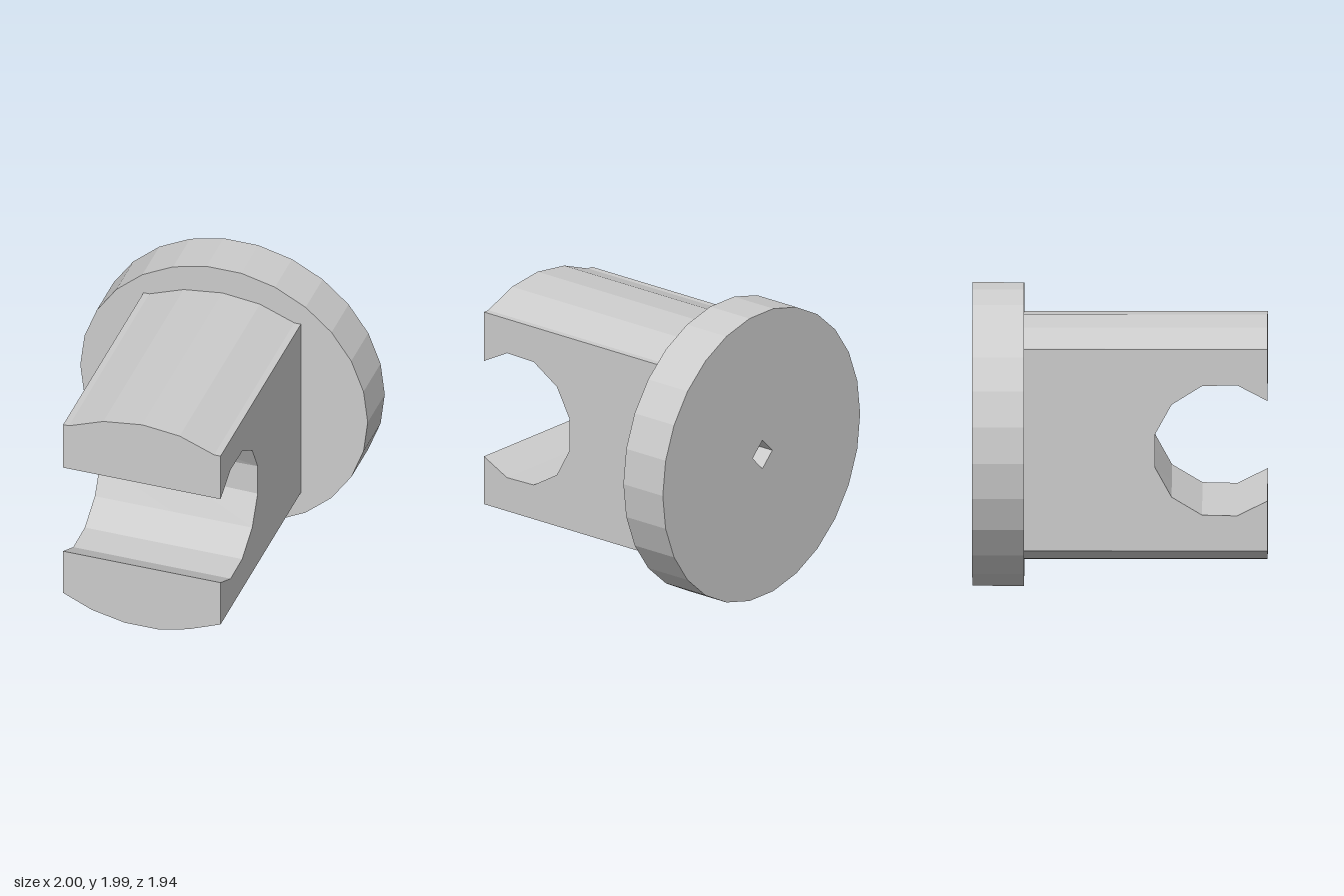
import * as THREE from 'three';

const LEFT = 0.535, RIGHT = -0.56, MID = -0.01; // body sides and bore axis in x
const FRONT = 0.97, SHOULDER = -0.63, BACK = -0.97, SEAT = 0.23; // z stations

const material = new THREE.MeshStandardMaterial({ color: 0xcccccc, flatShading: true });
const innerMaterial = material.clone();
innerMaterial.side = THREE.BackSide;

const toShape = (pts) => new THREE.Shape(pts.map(([x, y]) => new THREE.Vector2(x, y)));
const flat = (pts) => new THREE.ShapeGeometry(toShape(pts));

// Surface through rows of equally many points
function loft(rows) {
  const n = rows[0].length, index = [];
  for (let i = 0; i < rows.length - 1; i++) {
    for (let j = 0; j < n - 1; j++) {
      const a = i * n + j, d = a + n;
      index.push(a, a + 1, d + 1, a, d + 1, d);
    }
  }
  const g = new THREE.BufferGeometry();
  g.setAttribute('position', new THREE.Float32BufferAttribute(rows.flat(2), 3));
  g.setIndex(index);
  g.computeVertexNormals();
  return g;
}

function polygon(radius, sides, cx, cy) {
  return Array.from({ length: sides }, (_, i) => {
    const a = (i / sides) * Math.PI * 2;
    return [cx + radius * Math.cos(a), cy + radius * Math.sin(a)];
  });
}

export function createModel() {
  const model = new THREE.Group();
  model.name = 'slottedPlug';
  const add = (parent, name, geometry, mat = material) => {
    const mesh = new THREE.Mesh(geometry, mat);
    mesh.name = name;
    parent.add(mesh);
    return mesh;
  };

  // Round flange with a small diamond bore
  const disc = toShape(polygon(1, 26, 0, 1));
  disc.holes.push(toShape(polygon(0.1, 4, MID, 1)));
  const flange = new THREE.ExtrudeGeometry(disc, { depth: SHOULDER - BACK, bevelEnabled: false });
  add(model, 'flange', flange).position.z = BACK;

  const body = new THREE.Group();
  body.name = 'body';
  model.add(body);

  // Crowned top and rounded bottom of the body
  const top = [[LEFT, 1.68], [0.49, 1.68], [0.25, 1.775], [MID, 1.805], [-0.28, 1.77], [-0.52, 1.68], [RIGHT, 1.68]];
  const bottom = [[RIGHT, 0.33], [-0.36, 0.24], [-0.13, 0.19], [0.11, 0.19], [0.31, 0.24], [LEFT, 0.33]];
  const skin = (pts) => loft([SHOULDER, FRONT].map((z) => pts.map(([x, y]) => [x, y, z])));
  add(body, 'topSkin', skin(top));
  add(body, 'bottomSkin', skin(bottom));

  // Front ends of the two jaws
  add(body, 'upperJawFront', flat([...top, [RIGHT, 1.335], [LEFT, 1.335]])).position.z = FRONT;
  add(body, 'lowerJawFront', flat([...bottom, [LEFT, 0.665], [RIGHT, 0.665]])).position.z = FRONT;

  // Cross notch profiles as [z, y]; the middle section is slightly narrower
  const upperEdge = [[FRONT, 1.335], [0.77, 1.44], [0.54, 1.435], [0.34, 1.31], [SEAT, 1.11]];
  const upperMid = [[FRONT, 1.335], [0.77, 1.435], [0.53, 1.42], [0.31, 1.27], [SEAT, 1.1]];
  const lowerEdge = [[SEAT, 0.89], [0.34, 0.69], [0.54, 0.57], [0.77, 0.565], [FRONT, 0.665]];
  const lowerMid = [[SEAT, 0.9], ...lowerEdge.slice(1)];
  const notch = (edge, mid) => loft([[RIGHT, edge], [MID, mid], [LEFT, edge]]
    .map(([x, pts]) => pts.map(([z, y]) => [x, y, z])));
  add(body, 'notchUpper', notch(upperEdge, upperMid));
  add(body, 'notchLower', notch(lowerEdge, lowerMid));

  // Flat seat of the notch, open to one half of the bore
  add(body, 'seatRight', flat([[RIGHT, 0.89], [MID, 0.9], [MID, 1.1], [RIGHT, 1.11]])).position.z = SEAT;
  add(body, 'seatLeft', flat([[MID, 0.9], [LEFT, 0.89], [LEFT, 1.11], [MID, 1.1], [MID + 0.1, 1]])).position.z = SEAT;

  // Flat cheeks cut out by the notch
  const cheek = [[FRONT, 1.68], ...upperEdge, ...lowerEdge, [FRONT, 0.33], [SHOULDER, 0.33], [SHOULDER, 1.68]];
  for (const [name, x, s] of [['leftCheek', LEFT, 1], ['rightCheek', RIGHT, -1]]) {
    const side = flat(cheek.map(([z, y]) => [-s * z, y])).rotateY((s * Math.PI) / 2);
    add(body, name, side).position.x = x;
  }

  // Bore between flange and notch
  const bore = new THREE.CylinderGeometry(0.1, 0.1, SEAT - SHOULDER, 4, 1, true).rotateX(Math.PI / 2);
  add(body, 'bore', bore, innerMaterial).position.set(MID, 1, (SEAT + SHOULDER) / 2);

  return model;
}
